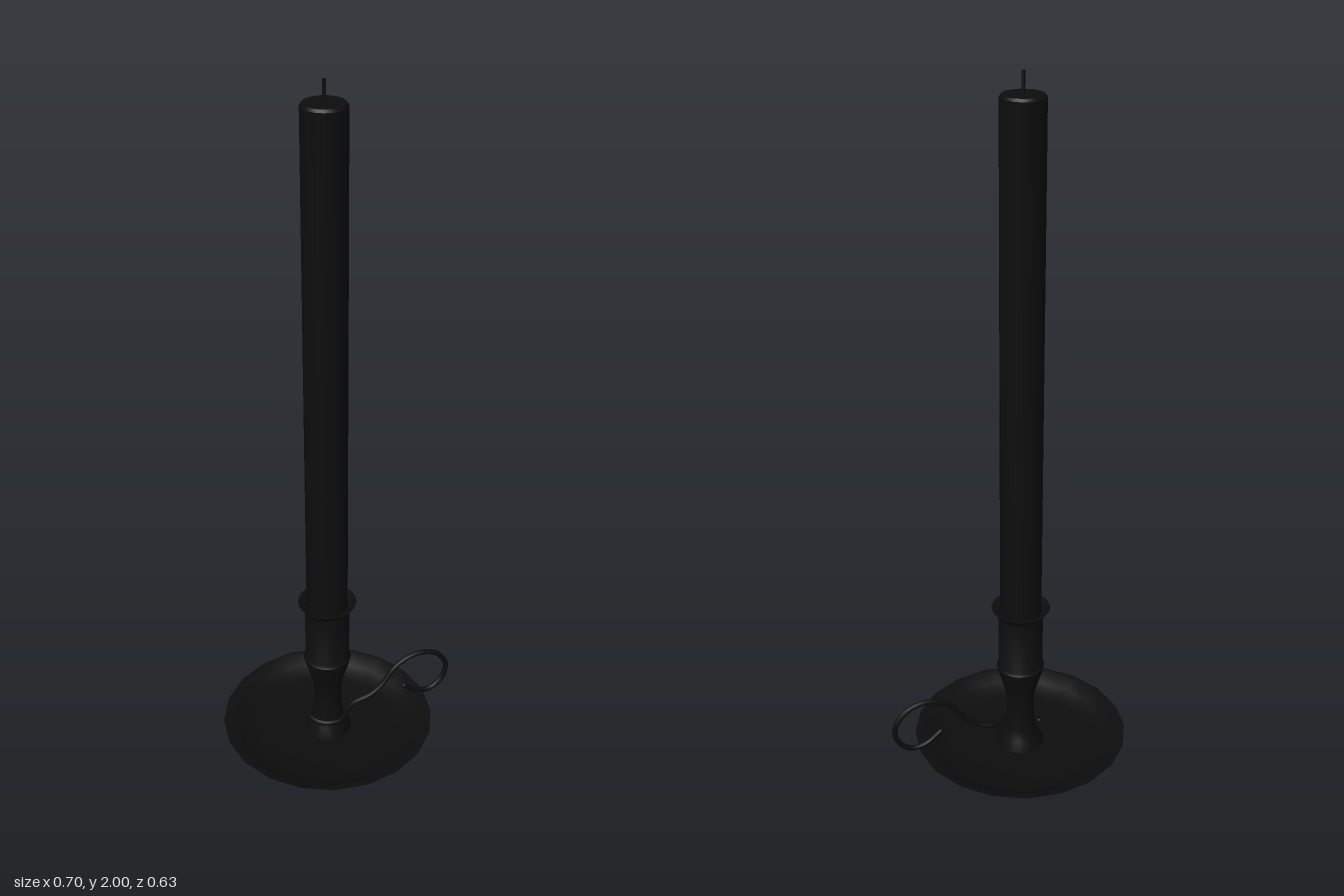
import * as THREE from 'three';
import { toCreasedNormals } from 'three/addons/utils/BufferGeometryUtils.js';

const AXIS_X = -0.042; // the candle stands off-centre because of the handle
const material = new THREE.MeshStandardMaterial({ color: 0x0d0d0d });

// Turned part from [radius, height] pairs, going up the outside and in over the top
function turned(name, profile, sides) {
  const points = profile.map(([r, y]) => new THREE.Vector2(r, y));
  const geometry = toCreasedNormals(new THREE.LatheGeometry(points, sides), 0.6);
  const mesh = new THREE.Mesh(geometry, material);
  mesh.name = name;
  mesh.position.x = AXIS_X;
  return mesh;
}

export function createModel() {
  const model = new THREE.Group();
  model.name = 'candlestick';

  // Shallow dish with a sloping rim
  model.add(turned('dish', [
    [0, 0.005], [0.215, 0.006], [0.245, 0.013], [0.272, 0.026], [0.313, 0.055],
    [0.305, 0.055], [0.265, 0.034], [0.24, 0.023], [0.21, 0.017], [0, 0.017],
  ], 20));

  // Waisted stem, socket and flared drip collar
  model.add(turned('stemAndSocket', [
    [0, 0], [0.07, 0], [0.07, 0.018], [0.053, 0.045], [0.046, 0.075], [0.04, 0.12],
    [0.04, 0.18], [0.048, 0.215], [0.066, 0.275], [0.069, 0.29], [0.064, 0.298],
    [0.064, 0.466], [0.072, 0.471], [0.084, 0.488], [0.078, 0.488], [0.068, 0.48],
    [0.062, 0.478], [0.06, 0.46],
  ], 32));

  // Candle with a softened top edge
  model.add(turned('candle', [
    [0, 0.3], [0.059, 0.3], [0.059, 1.937], [0.054, 1.944], [0, 1.944],
  ], 32));

  // Wick
  model.add(turned('wick', [[0.005, 1.93], [0.005, 2], [0, 2]], 8));

  // Wire handle: hooked round the front of the stem, then curling into a finger loop
  const path = [];
  for (let i = 0; i <= 6; i++) {
    const a = Math.PI * (1.05 - i * 0.15);
    path.push(new THREE.Vector3(AXIS_X + 0.058 * Math.cos(a), 0.075, 0.058 * Math.sin(a)));
  }
  const loop = [
    [0.04, 0.083, 0.008], [0.09, 0.1, 0.012], [0.13, 0.132, 0.015], [0.167, 0.182, 0.015],
    [0.208, 0.209, 0.015], [0.256, 0.217, 0.015], [0.308, 0.198, 0.015], [0.341, 0.148, 0.015],
    [0.331, 0.098, 0.015], [0.293, 0.066, 0.015], [0.248, 0.071, 0.015], [0.203, 0.103, 0.015],
  ];
  loop.forEach((p) => path.push(new THREE.Vector3(...p)));
  const curve = new THREE.CatmullRomCurve3(path);
  const handle = new THREE.Group();
  handle.name = 'handle';
  const wire = new THREE.Mesh(new THREE.TubeGeometry(curve, 90, 0.008, 10), material);
  wire.name = 'handleWire';
  handle.add(wire);

  // Rounded wire ends
  for (const t of [0, 1]) {
    const end = new THREE.Mesh(new THREE.SphereGeometry(0.008, 10, 8), material);
    end.name = 'handleEnd';
    end.position.copy(curve.getPoint(t));
    handle.add(end);
  }
  model.add(handle);

  return model;
}
